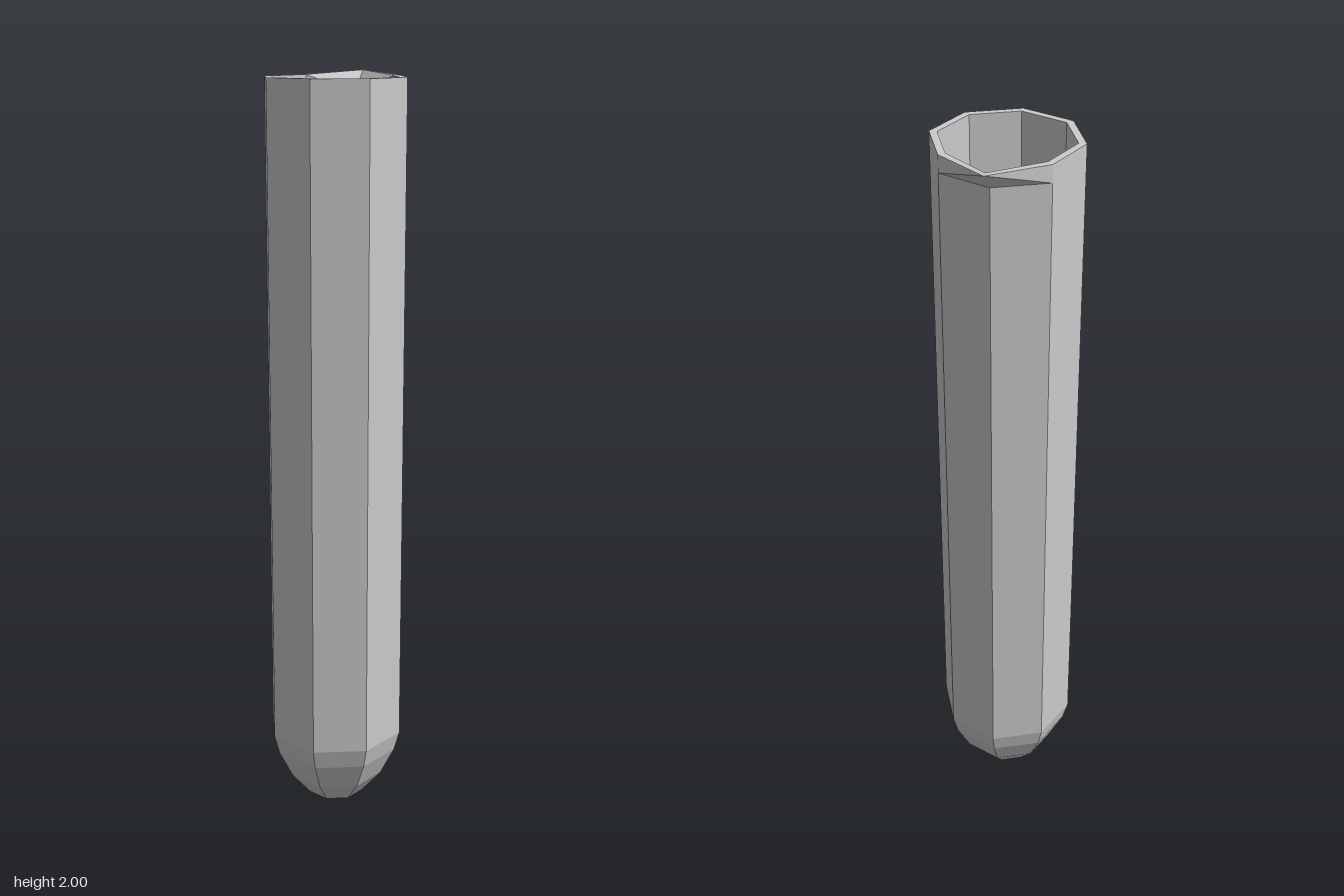
import * as THREE from 'three';

const SIDES = 8;
const BACK = 4; // index of the corner that carries the spout
const CENTRE_Z = 0.03;

// Octagonal ring; the back corner may be pulled out to form the spout
function ring(r, y, tip) {
  return Array.from({ length: SIDES }, (_, k) => {
    const a = (k / SIDES) * Math.PI * 2;
    if (tip && k === BACK) return [0, tip.y, tip.z];
    return [Math.sin(a) * r, y, Math.cos(a) * r + CENTRE_Z];
  });
}

// Skin consecutive rings with triangles, mirrored about the spout
function loft(rings) {
  const pos = [];
  for (let i = 0; i < rings.length - 1; i++) {
    for (let k = 0; k < SIDES; k++) {
      const n = (k + 1) % SIDES;
      const a = rings[i][k], b = rings[i][n], c = rings[i + 1][n], d = rings[i + 1][k];
      const quad = k < BACK ? [a, b, c, a, c, d] : [a, b, d, b, c, d];
      for (const p of quad) pos.push(...p);
    }
  }
  const g = new THREE.BufferGeometry();
  g.setAttribute('position', new THREE.Float32BufferAttribute(pos, 3));
  g.computeVertexNormals();
  return g;
}

export function createModel() {
  const group = new THREE.Group();
  group.name = 'testTube';
  const material = new THREE.MeshStandardMaterial({ color: 0xcccccc, flatShading: true });
  const add = (name, geometry) => {
    const mesh = new THREE.Mesh(geometry, material);
    mesh.name = name;
    group.add(mesh);
    return mesh;
  };

  const outerLip = ring(0.19, 1.99, { y: 2, z: -0.223 });
  const innerLip = ring(0.17, 1.99, { y: 2, z: -0.205 });

  // Outer wall, from the rounded base up to the spouted lip
  const outer = [[0.08, 0], [0.135, 0.065], [0.175, 0.145], [0.19, 0.2], [0.19, 1.945]];
  add('outerWall', loft([...outer.map(([r, y]) => ring(r, y)), outerLip]));

  // Flat rim joining the two walls
  add('rim', loft([outerLip, innerLip]));

  // Inner wall, from the lip down to the floor
  const inner = [[0.17, 1.945], [0.17, 0.205], [0.157, 0.155], [0.12, 0.08], [0.07, 0.02]];
  add('innerWall', loft([innerLip, ...inner.map(([r, y]) => ring(r, y))]));

  // Flat octagons closing the underside and the inside floor
  add('base', new THREE.CircleGeometry(0.08, SIDES).rotateX(Math.PI / 2)).position.set(0, 0, CENTRE_Z);
  add('floor', new THREE.CircleGeometry(0.07, SIDES).rotateX(-Math.PI / 2)).position.set(0, 0.02, CENTRE_Z);

  return group;
}
